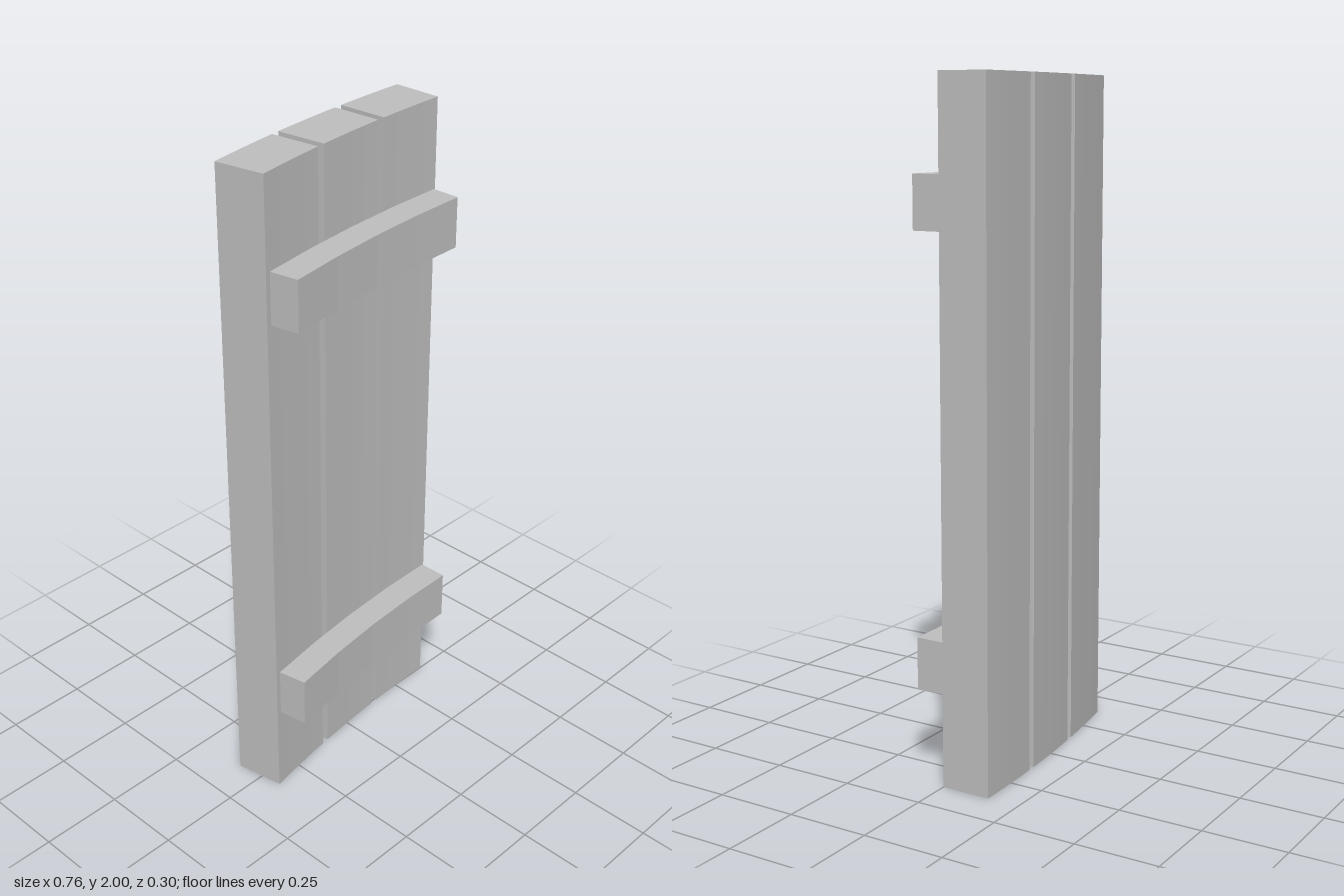
import * as THREE from 'three';

// All parts are arcs about one vertical axis in front of the panel
const AXIS_X = 0.376, AXIS_Z = 4.1;
const SEGMENTS = 4;

// Curved block between two radii and two angles (measured from the right end)
function arcBlock(rFront, rBack, a0, a1, y0, y1) {
  const points = [];
  const add = (r, a) => points.push(
    new THREE.Vector2(AXIS_X - r * Math.sin(a), r * Math.cos(a) - AXIS_Z));
  for (let i = 0; i <= SEGMENTS; i++) add(rFront, a0 + (a1 - a0) * i / SEGMENTS);
  for (let i = SEGMENTS; i >= 0; i--) add(rBack, a0 + (a1 - a0) * i / SEGMENTS);
  const geometry = new THREE.ExtrudeGeometry(new THREE.Shape(points), {
    depth: y1 - y0, bevelEnabled: false,
  });
  geometry.rotateX(-Math.PI / 2);
  geometry.translate(0, y0, 0);
  return geometry;
}

export function createModel() {
  const group = new THREE.Group();
  group.name = 'curvedPlankPanel';
  const grey = new THREE.MeshStandardMaterial({ color: 0xc0c0c0 });
  grey.name = 'plain grey';

  const addPart = (name, geometry) => {
    const mesh = new THREE.Mesh(geometry, grey);
    mesh.name = name;
    group.add(mesh);
  };

  // Three upright planks with narrow gaps
  const planks = [['leftPlank', 0, 0.0551], ['middlePlank', 0.061, 0.1166], ['rightPlank', 0.1227, 0.1786]];
  for (const [name, a0, a1] of planks) addPart(name, arcBlock(4.1, 4.251, a0, a1, 0, 2));

  // Two battens across the front
  const battens = [['lowerBatten', 0.276], ['upperBatten', 1.577]];
  for (const [name, y] of battens) addPart(name, arcBlock(4.012, 4.1, 0.001, 0.1746, y, y + 0.153));

  return group;
}
